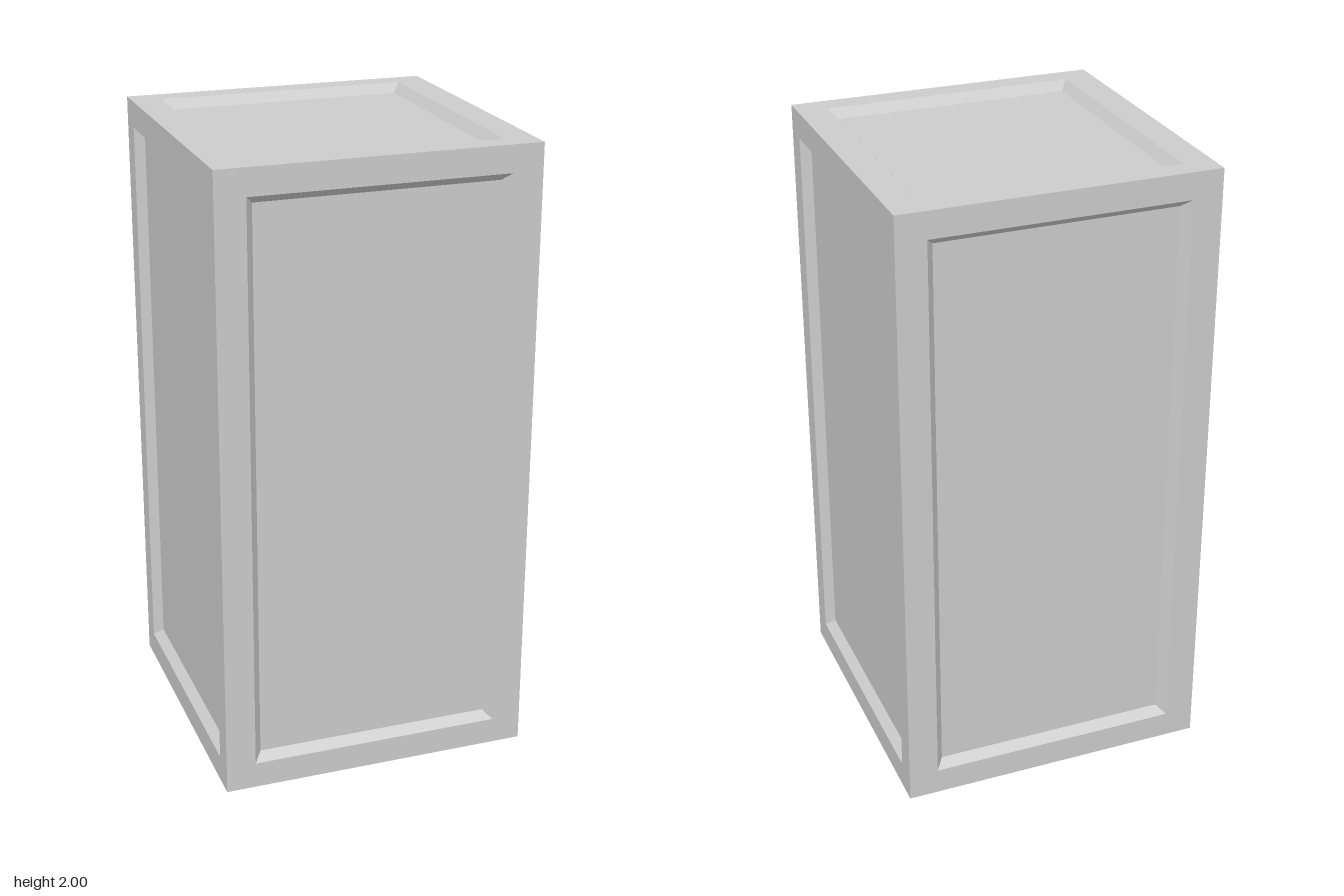
import * as THREE from 'three';

const BEVEL = 0.025; // sideways run of the sloped edge
const DEPTH = 0.03;  // how far each panel is sunk

// One flat side facing +z: a border, a sloped edge and a sunken panel,
// made from nested rectangles joined ring by ring.
function sunkenSide(width, height, openWidth, openHeight) {
  const ring = (w, h, z) => [
    [-w / 2, -h / 2, z], [w / 2, -h / 2, z], [w / 2, h / 2, z], [-w / 2, h / 2, z],
  ];
  const rings = [
    ring(width, height, 0),
    ring(openWidth, openHeight, 0),
    ring(openWidth - 2 * BEVEL, openHeight - 2 * BEVEL, -DEPTH),
  ];
  const points = [];
  const quad = (a, b, c, d) => points.push(...a, ...b, ...c, ...a, ...c, ...d);
  for (let r = 0; r < 2; r++) {
    for (let i = 0; i < 4; i++) {
      const j = (i + 1) % 4;
      quad(rings[r][i], rings[r][j], rings[r + 1][j], rings[r + 1][i]);
    }
  }
  quad(...rings[2]);
  const geometry = new THREE.BufferGeometry();
  geometry.setAttribute('position', new THREE.Float32BufferAttribute(points, 3));
  geometry.computeVertexNormals();
  return geometry;
}

export function createModel() {
  const model = new THREE.Group();
  model.name = 'panelledPillar';
  const material = new THREE.MeshStandardMaterial({ color: 0xcccccc, flatShading: true });

  const frontGeometry = sunkenSide(1, 2, 0.81, 1.83);
  const sideGeometry = sunkenSide(1, 2, 0.85, 1.83);
  const capGeometry = sunkenSide(1, 1, 0.81, 0.85);

  // name, geometry, position, tilt about x, turn about y
  const sides = [
    ['frontPanel', frontGeometry, [0, 1, 0.5], 0, 0],
    ['backPanel', frontGeometry, [0, 1, -0.5], 0, Math.PI],
    ['leftPanel', sideGeometry, [0.5, 1, 0], 0, Math.PI / 2],
    ['rightPanel', sideGeometry, [-0.5, 1, 0], 0, -Math.PI / 2],
    ['topPanel', capGeometry, [0, 2, 0], -Math.PI / 2, 0],
    ['bottomPanel', capGeometry, [0, 0, 0], Math.PI / 2, 0],
  ];
  for (const [name, geometry, position, tilt, turn] of sides) {
    const mesh = new THREE.Mesh(geometry, material);
    mesh.name = name;
    mesh.position.set(...position);
    mesh.rotation.set(tilt, turn, 0);
    model.add(mesh);
  }
  return model;
}
